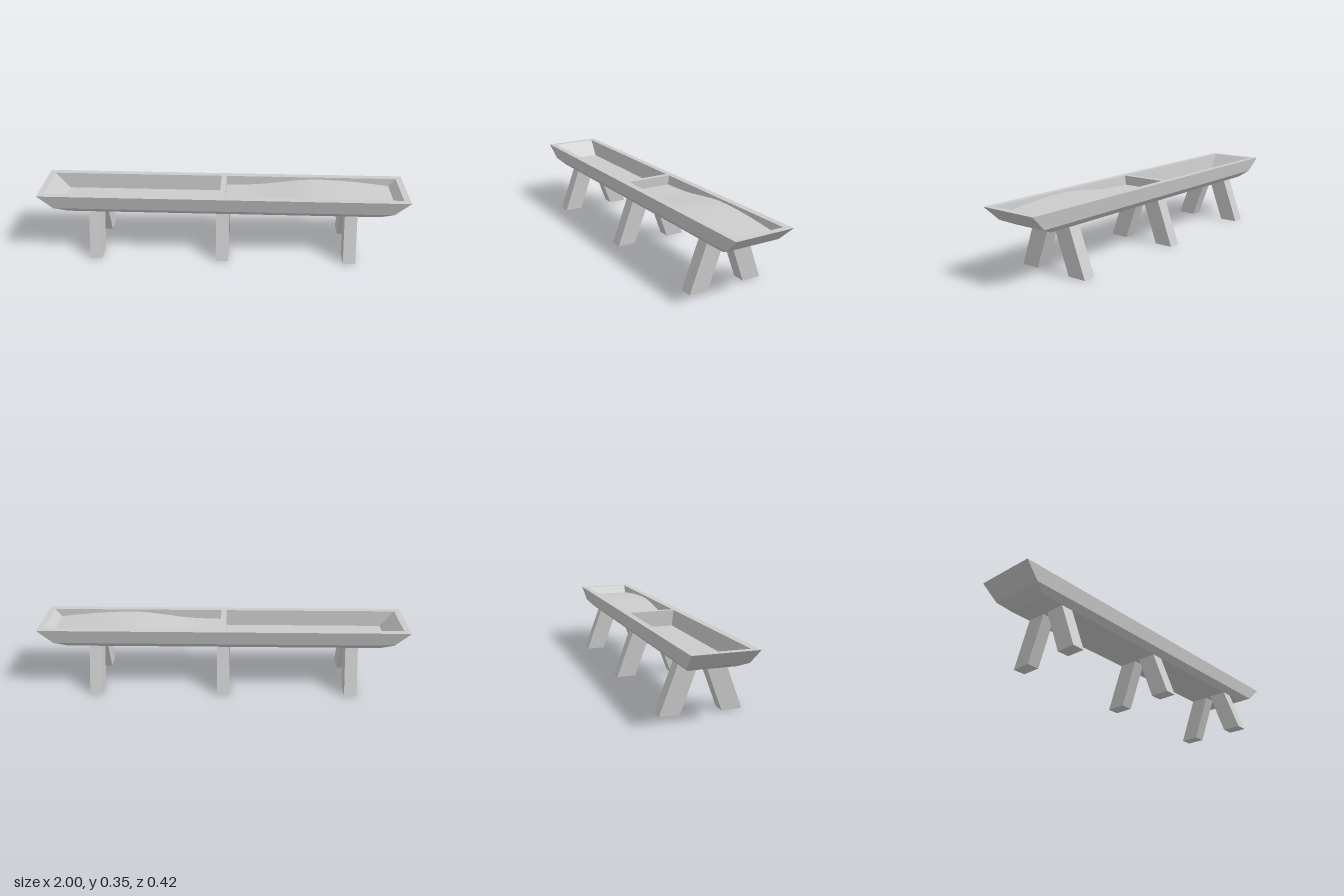
import * as THREE from 'three';

const grey = () => new THREE.MeshStandardMaterial({ color: 0xcccccc });

// Joins rectangular rings [x0, x1, halfDepth, y]; rising rings face outwards, falling rings inwards
function loft(rings) {
  const corners = rings.map(([x0, x1, d, y]) => [[x0, y, d], [x1, y, d], [x1, y, -d], [x0, y, -d]]);
  const pos = [];
  for (let i = 0; i < rings.length - 1; i++) {
    for (let j = 0; j < 4; j++) {
      const k = (j + 1) % 4;
      const a = corners[i][j], b = corners[i][k], c = corners[i + 1][k], d = corners[i + 1][j];
      pos.push(...a, ...b, ...c, ...a, ...c, ...d);
    }
  }
  const g = new THREE.BufferGeometry();
  g.setAttribute('position', new THREE.Float32BufferAttribute(pos, 3));
  g.computeVertexNormals();
  return g;
}

function rect(path, x0, x1, d) {
  path.moveTo(x0, -d);
  path.lineTo(x1, -d);
  path.lineTo(x1, d);
  path.lineTo(x0, d);
  path.closePath();
  return path;
}

export function createModel() {
  const model = new THREE.Group();
  const add = (geometry, name) => {
    const mesh = new THREE.Mesh(geometry, grey());
    mesh.name = name;
    model.add(mesh);
    return mesh;
  };

  const top = 0.355, floor = 0.268, bottom = 0.247;
  const wall = 0.015, mouthEnd = 0.966, floorEnd = 0.89;
  const mouthDepth = 0.128, floorDepth = 0.118;

  // Trough shell with chamfered underside, closed by a ring collapsed to a line
  add(loft([
    [-0.85, 0.85, 0, bottom],
    [-0.85, 0.85, 0.119, bottom],
    [-0.92, 0.92, 0.15, 0.278],
    [-1, 1, 0.163, top],
  ]), 'troughShell');

  // Flat rim and the divider's top edge
  const rim = rect(new THREE.Shape(), -1, 1, 0.163);
  rim.holes.push(rect(new THREE.Path(), -mouthEnd, -wall, mouthDepth));
  rim.holes.push(rect(new THREE.Path(), wall, mouthEnd, mouthDepth));
  add(new THREE.ShapeGeometry(rim).rotateX(-Math.PI / 2).translate(0, top, 0), 'rim');

  // Two basins either side of the divider, with sloping outer ends
  for (const s of [-1, 1]) {
    const ring = (end, d, y) => (s < 0 ? [-end, -wall, d, y] : [wall, end, d, y]);
    add(loft([
      ring(mouthEnd, mouthDepth, top),
      ring(floorEnd, floorDepth, floor),
      ring(floorEnd, 0, floor),
    ]), s < 0 ? 'rightBasin' : 'leftBasin');
  }

  // Heaped feed in one basin, its edges following the sloping walls
  const profile = new THREE.SplineCurve([
    [wall, 0.303], [0.2, 0.31], [0.36, 0.33], [0.5, 0.343], [0.7, 0.336], [0.928, 0.313],
  ].map(([x, y]) => new THREE.Vector2(x, y)));
  const steps = 12;
  const feed = new THREE.PlaneGeometry(1, 2, steps, 1).rotateX(-Math.PI / 2);
  const p = feed.attributes.position;
  for (let i = 0; i < p.count; i++) {
    const q = profile.getPoint(p.getX(i) + 0.5);
    const d = THREE.MathUtils.mapLinear(q.y, floor, top, floorDepth, mouthDepth);
    p.setXYZ(i, q.x, q.y, Math.sign(p.getZ(i)) * d);
  }
  feed.computeVertexNormals();
  add(feed, 'feed');

  // Three pairs of splayed legs
  const width = 0.068;
  for (const x of [-0.697, 0, 0.697]) {
    for (const s of [-1, 1]) {
      const side = new THREE.Shape([[0.106, 0], [0.21, 0], [0.118, bottom], [0.014, bottom]]
        .map(([z, y]) => new THREE.Vector2(s * z, y)));
      const leg = new THREE.ExtrudeGeometry(side, { depth: width, bevelEnabled: false });
      leg.translate(0, 0, -width / 2).rotateY(-Math.PI / 2).translate(x, 0, 0);
      add(leg, s > 0 ? 'frontLeg' : 'backLeg');
    }
  }
  return model;
}
